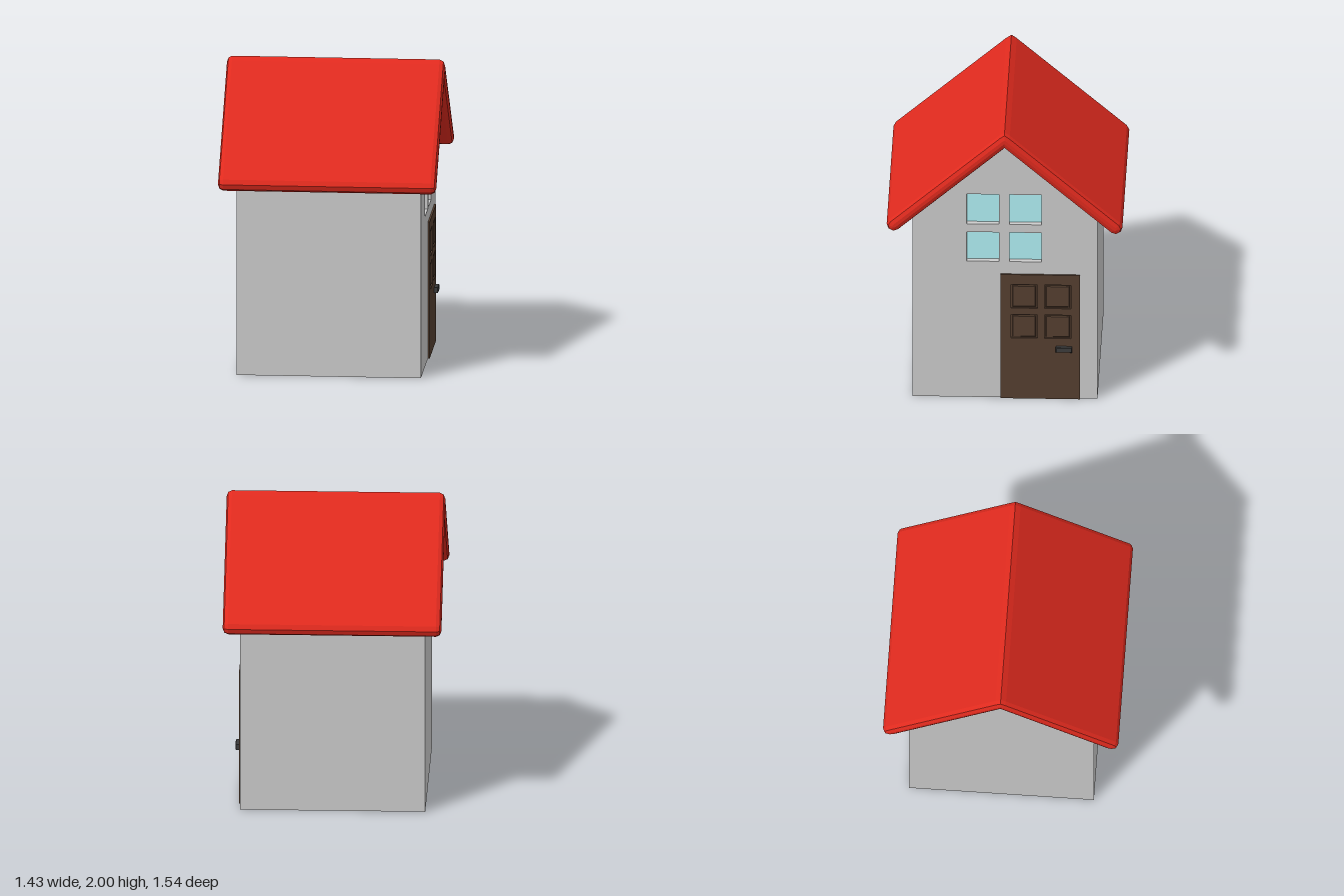
import * as THREE from 'three';

const mat = (color) => new THREE.MeshStandardMaterial({ color, flatShading: true });
const GREY = mat(0xcccccc), RED = mat(0xe02a1e), WOOD = mat(0x553f30),
  GLASS = mat(0xb0f0f5), IRON = mat(0x3c3c3c);

const polygon = (pts) => new THREE.Shape(pts.map(([u, v]) => new THREE.Vector2(u, v)));
const rect = (u0, u1, v0, v1) => polygon([[u0, v0], [u1, v0], [u1, v1], [u0, v1]]);

// Extrudes a gable-side outline (u = -z, v = y) along x from x0 to x1;
// an optional bevel is cut inwards from the outline at both ends
function slab(name, shape, x0, x1, material, bevel = 0, segments = 1) {
  const geo = new THREE.ExtrudeGeometry(shape, {
    depth: x1 - x0 - 2 * bevel, bevelEnabled: bevel > 0, bevelThickness: bevel,
    bevelSize: bevel, bevelOffset: -bevel, bevelSegments: segments,
  });
  geo.translate(0, 0, x0 + bevel);
  geo.rotateY(Math.PI / 2);
  const mesh = new THREE.Mesh(geo, material);
  mesh.name = name;
  return mesh;
}

// All four combinations of two column and two row ranges
const grid = (cols, rows) => cols.flatMap((c) => rows.map((r) => [...c, ...r]));

// Chevron roof outline: faceted ridge, octagonal eaves, constant thickness
function roofOutline() {
  const pitch = Math.atan(0.879), radius = 0.046;
  const half = [[0.035, 1.976]];
  for (let i = 0; i <= 4; i++) {
    const a = Math.PI / 2 - pitch - (i * Math.PI) / 4;
    half.push([0.725 + radius * Math.cos(a), 1.309 + radius * Math.sin(a)]);
  }
  const mirrored = half.map(([u, v]) => [-u, v]).reverse();
  return polygon([[0, 2], ...half, [0, 1.885], ...mirrored]);
}

export function createModel() {
  const house = new THREE.Group();
  house.name = 'house';

  // Walls: solid body plus a facade layer pierced by the windows
  const W = 0.605, RECESS = 0.04;
  const gable = () => polygon([[-W, 0], [W, 0], [W, 1.36], [0, 1.892], [-W, 1.36]]);
  house.add(slab('walls', gable(), -W, W - RECESS, GREY));

  const windows = grid([[-0.25, -0.04], [0.03, 0.24]], [[1.005, 1.22], [1.28, 1.5]]);
  const facade = gable();
  windows.forEach((w) => facade.holes.push(rect(...w)));
  house.add(slab('facade', facade, W - RECESS, W, GREY));
  windows.forEach((w) => house.add(slab('windowPane', rect(...w), W - RECESS - 0.005, W - RECESS + 0.003, GLASS)));

  // Roof
  house.add(slab('roof', roofOutline(), -0.715, 0.715, RED, 0.035, 2));

  // Door with four sunken panels and a handle
  const door = new THREE.Group();
  door.name = 'door';
  const panels = grid([[0.04, 0.212], [0.258, 0.432]], [[0.447, 0.62], [0.668, 0.842]]);
  const leaf = rect(-0.03, 0.49, 0, 0.915);
  panels.forEach((p) => leaf.holes.push(rect(...p)));
  door.add(slab('doorLeaf', leaf, W, W + 0.012, WOOD));
  panels.forEach(([u0, u1, v0, v1]) => {
    door.add(slab('panelBack', rect(u0, u1, v0, v1), W - 0.004, W + 0.002, WOOD));
    door.add(slab('doorPanel', rect(u0 + 0.008, u1 - 0.008, v0 + 0.008, v1 - 0.008), W - 0.008, W + 0.009, WOOD, 0.006));
  });
  door.add(slab('doorHandle', rect(0.333, 0.439, 0.355, 0.391), W + 0.008, 0.643, IRON, 0.004));
  house.add(door);

  return house;
}
